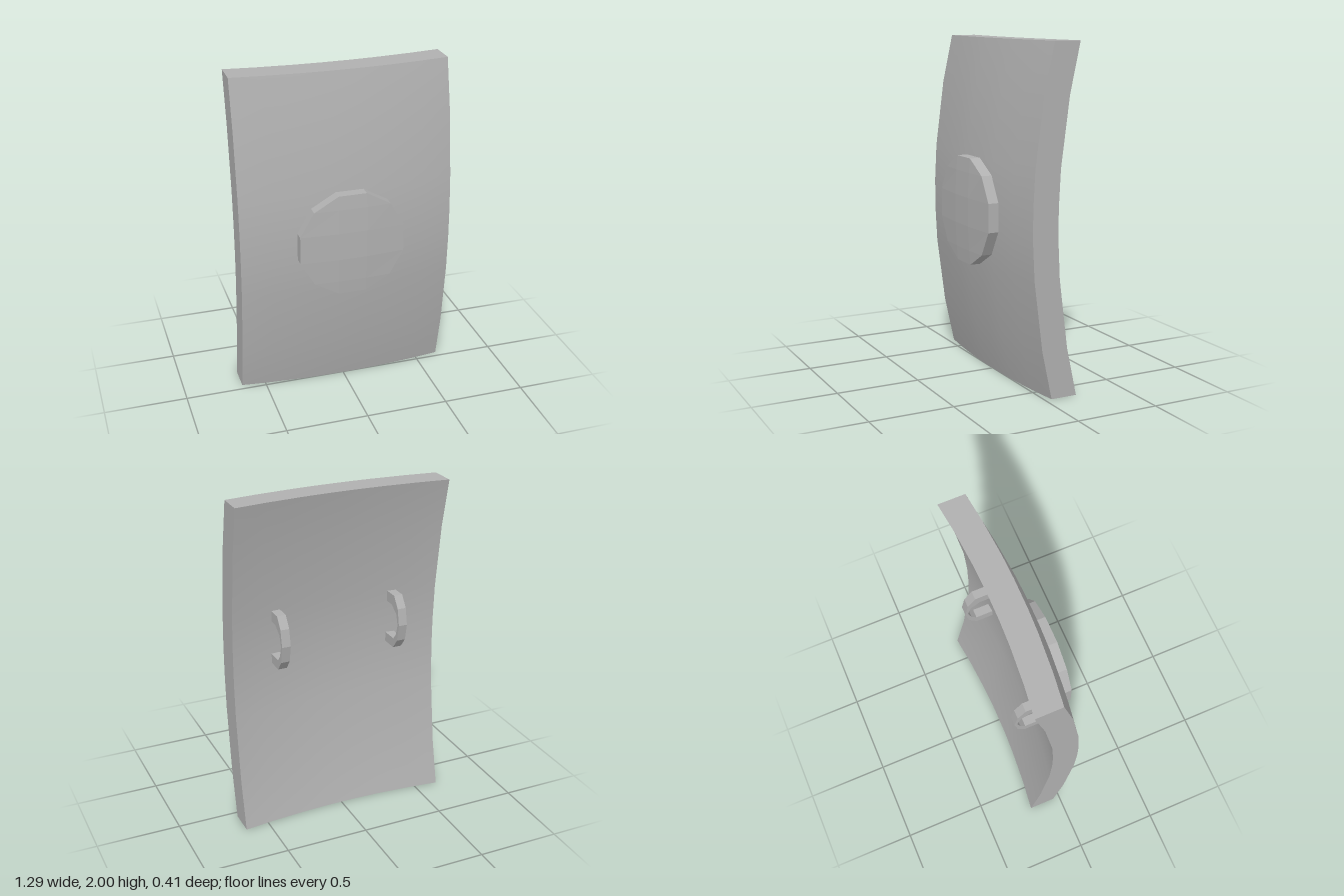
import * as THREE from 'three';

const HALF_W = 0.645, THICK = 0.16;

// Depth of the curved front face at x, with t the height from the middle (-1..1)
function faceZ(x, t) {
  const u2 = (x / HALF_W) ** 2, t2 = t * t;
  return 0.142 - 0.138 * t2 - 0.056 * u2 + 0.011 * u2 * t2;
}

// Grid of points point(u, v) over two lists; faces point along u cross v
function grid(us, vs, point, flat = false) {
  const pos = [], index = [], n = us.length;
  for (const v of vs) for (const u of us) pos.push(...point(u, v));
  for (let j = 0; j < vs.length - 1; j++) {
    for (let i = 0; i < n - 1; i++) {
      const a = j * n + i, b = a + 1, c = b + n, d = a + n;
      index.push(a, b, c, a, c, d);
    }
  }
  let geo = new THREE.BufferGeometry();
  geo.setAttribute('position', new THREE.Float32BufferAttribute(pos, 3));
  geo.setIndex(index);
  if (flat) geo = geo.toNonIndexed();
  geo.computeVertexNormals();
  return geo;
}

export function createModel() {
  const model = new THREE.Group();
  model.name = 'shield';
  const grey = new THREE.MeshStandardMaterial({ color: 0xb0b0b0 });
  grey.name = 'plain grey';
  const add = (parent, name, geo) => {
    const mesh = new THREE.Mesh(geo, grey);
    mesh.name = name;
    parent.add(mesh);
    return mesh;
  };

  // Curved rectangular board: smooth faces joined by crisp rims
  const board = new THREE.Group();
  board.name = 'board';
  model.add(board);
  const xs = [-0.645, -0.46, -0.24, -0.09, 0.09, 0.24, 0.46, 0.645];
  const ts = [-1, -0.71, -0.31, -0.09, 0.09, 0.31, 0.71, 1];
  const back = [0, 1], front = [1, 0];
  const at = (x, t, depth) => [x, 1 + t, faceZ(x, t) - THICK * depth];
  add(board, 'boardFront', grid(xs, ts, (x, t) => at(x, t, 0)));
  add(board, 'boardBack', grid([...xs].reverse(), ts, (x, t) => at(x, t, 1)));
  add(board, 'topRim', grid(xs, back, (x, d) => at(x, 1, d), true));
  add(board, 'bottomRim', grid(xs, front, (x, d) => at(x, -1, d), true));
  add(board, 'leftRim', grid(back, ts, (d, t) => at(HALF_W, t, d), true));
  add(board, 'rightRim', grid(front, ts, (d, t) => at(-HALF_W, t, d), true));

  // Twelve-sided boss with a gently domed face
  const boss = new THREE.Group();
  boss.name = 'boss';
  model.add(boss);
  const R = 0.326;
  const bossZ = (x, y) => 0.209 - 0.16 * y * y - 0.18 * x * x;
  const corner = (k) => {
    const a = THREE.MathUtils.degToRad(15 + 30 * k);
    return [R * Math.cos(a), R * Math.sin(a)];
  };
  const inner = corner(2)[0];
  const rowIds = [-3, -2, -1, 0, 1, 2];
  add(boss, 'bossFace', grid([-2, -1, 1, 2], rowIds, (col, k) => {
    const [cx, y] = corner(k);
    const x = Math.sign(col) * (Math.abs(col) === 2 ? cx : inner);
    return [x, 1 + y, bossZ(x, y)];
  }, true));
  const around = Array.from({ length: 13 }, (_, k) => k);
  add(boss, 'bossRim', grid(around, [0, 1], (k, v) => {
    const [x, y] = corner(k);
    return [x, 1 + y, v ? bossZ(x, y) : 0.09];
  }, true));

  // Pair of faceted grips; the profile is (distance behind centre, height)
  const profile = [
    [0.02, 1.317], [0.138, 1.317], [0.187, 1.25], [0.207, 1.15], [0.187, 1.048], [0.14, 0.987], [0.02, 0.987],
    [0.02, 1.045], [0.14, 1.045], [0.17, 1.08], [0.19, 1.148], [0.17, 1.212], [0.11, 1.252], [0.02, 1.252],
  ];
  const shape = new THREE.Shape(profile.map(([d, y]) => new THREE.Vector2(d, y)));
  const gripGeo = new THREE.ExtrudeGeometry(shape, { depth: 0.053, bevelEnabled: false });
  gripGeo.translate(0, 0, -0.0265);
  gripGeo.rotateY(Math.PI / 2);
  for (const side of [1, -1]) {
    const grip = add(model, side > 0 ? 'leftGrip' : 'rightGrip', gripGeo);
    grip.position.x = side * 0.37;
  }
  return model;
}
